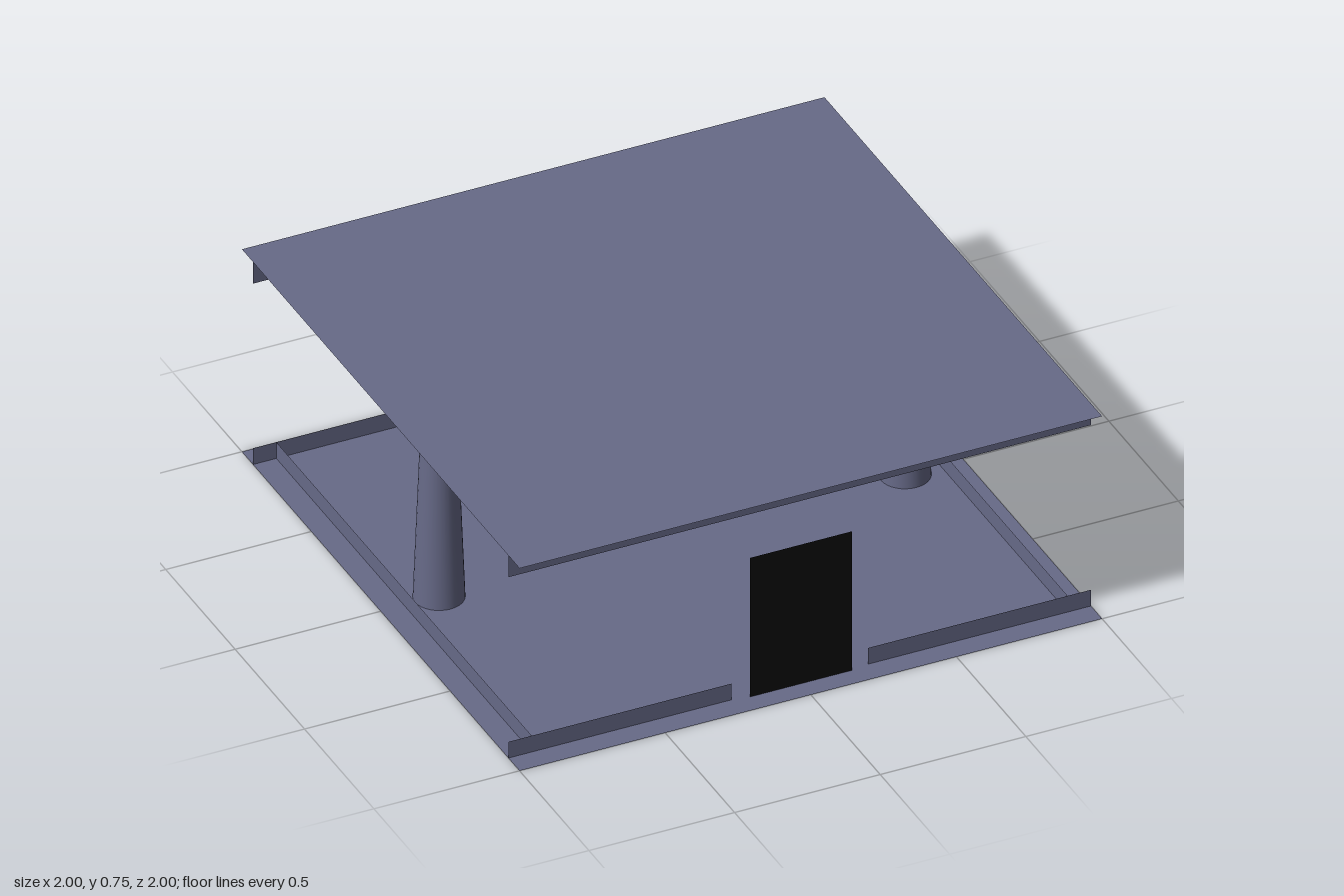
import * as THREE from 'three';

export function createModel() {
  const root = new THREE.Group();
  const stone = new THREE.MeshStandardMaterial({ color: 0x676a88, side: THREE.DoubleSide });
  stone.name = 'slate stone';
  const black = new THREE.MeshStandardMaterial({ color: 0x0d0d0d, side: THREE.DoubleSide });
  black.name = 'black door';

  const HEIGHT = 0.75; // roof level
  const INSET = 0.92; // distance of rails and beams from the centre

  function add(parent, name, geometry, material, x, y, z) {
    const mesh = new THREE.Mesh(geometry, material);
    mesh.name = name;
    mesh.position.set(x, y, z);
    parent.add(mesh);
    return mesh;
  }

  // Thin upright sheet standing on y = bottom
  function sheet(parent, name, width, height, x, bottom, z, material = stone) {
    return add(parent, name, new THREE.PlaneGeometry(width, height), material, x, bottom + height / 2, z);
  }

  // Floor and flat roof sheets
  const slab = new THREE.PlaneGeometry(2, 2).rotateX(-Math.PI / 2);
  add(root, 'floor', slab, stone, 0, 0, 0);
  add(root, 'roof', slab, stone, 0, HEIGHT, 0);

  // Front and back: rails with an entrance gap, a full roof beam and a door
  const gap = 0.235, railLength = 1 - gap;
  for (const turn of [0, Math.PI]) {
    const end = new THREE.Group();
    end.name = turn ? 'backEntrance' : 'frontEntrance';
    for (const s of [-1, 1]) {
      sheet(end, 'entranceRail', railLength, 0.06, s * (gap + railLength / 2), 0, INSET);
    }
    sheet(end, 'roofBeam', 2, 0.08, 0, HEIGHT - 0.08, INSET);
    sheet(end, 'door', 0.35, 0.515, 0, 0, 0.93, black);
    end.rotation.y = turn;
    root.add(end);
  }

  // Both sides: low rail, roof beam and a tapered column
  const columnGeometry = new THREE.CylinderGeometry(0.053, 0.082, HEIGHT, 32, 1, true);
  for (const s of [-1, 1]) {
    sheet(root, 'sideRail', INSET * 2, 0.06, s * INSET, 0, 0).rotation.y = s * Math.PI / 2;
    sheet(root, 'sideBeam', INSET * 2, 0.08, s * INSET, HEIGHT - 0.08, 0).rotation.y = s * Math.PI / 2;
    add(root, 'column', columnGeometry, stone, s * 0.8, HEIGHT / 2, 0);
  }

  return root;
}
